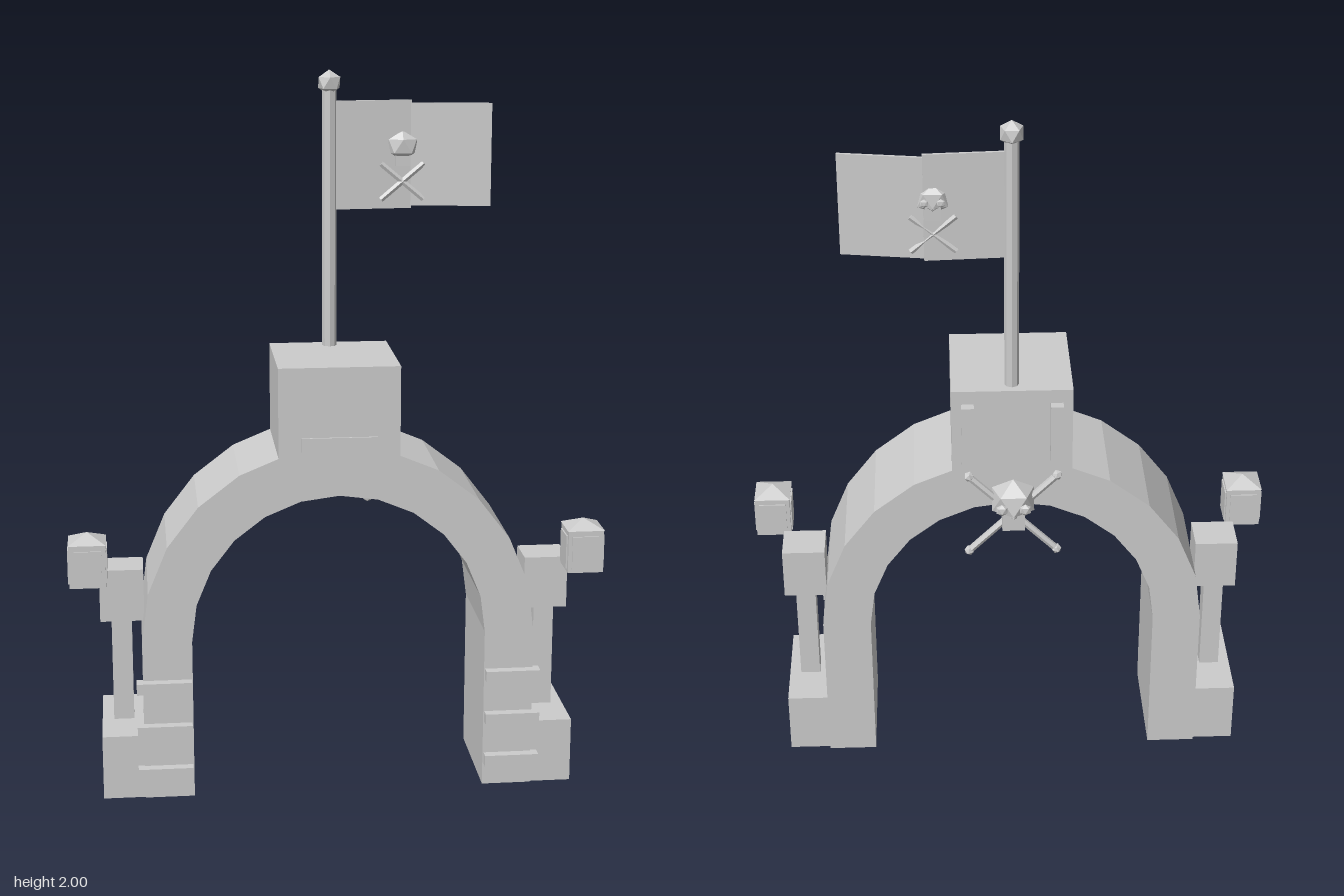
import * as THREE from 'three';

const stone = new THREE.MeshStandardMaterial({ color: 0xcccccc, flatShading: true });
stone.name = 'plain grey';

function add(parent, name, geometry, x = 0, y = 0, z = 0) {
  const mesh = new THREE.Mesh(geometry, stone);
  mesh.name = name;
  mesh.position.set(x, y, z);
  parent.add(mesh);
  return mesh;
}

// Box given by its lower and upper limits on each axis
function block(parent, name, x0, x1, y0, y1, z0, z1) {
  return add(parent, name, new THREE.BoxGeometry(Math.abs(x1 - x0), y1 - y0, z1 - z0),
    (x0 + x1) / 2, (y0 + y1) / 2, (z0 + z1) / 2);
}

// Low-poly ball with one corner pointing straight up
function ball(radius) {
  return new THREE.IcosahedronGeometry(radius, 0).rotateZ(Math.atan(2 / (1 + Math.sqrt(5)))).rotateY(Math.PI / 2);
}

// Two bones crossed in the xy plane, with knobs at their ends
function crossedBones(parent, halfW, halfH, radius, knob, y) {
  for (const s of [-1, 1]) {
    const bone = new THREE.Group();
    bone.name = 'bone';
    const length = 2 * Math.hypot(halfW, halfH);
    add(bone, 'boneShaft', new THREE.CylinderGeometry(radius, radius, length, 6));
    if (knob) for (const e of [-1, 1]) add(bone, 'boneKnob', ball(knob), 0, e * length / 2, 0);
    bone.rotation.z = -s * Math.atan2(halfW, halfH);
    bone.position.y = y;
    parent.add(bone);
  }
}

// Skull facing -z
function skull() {
  const g = new THREE.Group();
  g.name = 'skull';
  add(g, 'cranium', ball(0.072).scale(0.95, 0.87, 0.85));
  add(g, 'jaw', new THREE.BoxGeometry(0.062, 0.06, 0.07), 0, -0.05, -0.005);
  for (const s of [-1, 1]) add(g, 'eye', ball(0.018).scale(1, 1, 0.6), s * 0.032, -0.006, -0.05);
  add(g, 'nose', ball(0.01), 0, -0.03, -0.045);
  return g;
}

export function createModel() {
  const model = new THREE.Group();
  model.name = 'archGate';

  // Arch: straight legs with a twelve-sided half ring
  const arch = new THREE.Shape();
  const spring = 0.46, steps = 12;
  arch.moveTo(0.548, 0);
  for (let i = 0; i <= steps; i++) {
    const a = Math.PI * i / steps;
    arch.lineTo(0.548 * Math.cos(a), spring + 0.548 * Math.sin(a));
  }
  arch.lineTo(-0.548, 0);
  arch.lineTo(-0.41, 0);
  for (let i = steps; i >= 0; i--) {
    const a = Math.PI * i / steps;
    arch.lineTo(0.41 * Math.cos(a), spring + 0.41 * Math.sin(a));
  }
  arch.lineTo(0.41, 0);
  const archGeometry = new THREE.ExtrudeGeometry(arch, { depth: 0.33, bevelEnabled: false });
  add(model, 'arch', archGeometry, 0, 0, -0.12);

  // Keystone with its front plaque and rear bars
  block(model, 'keystone', -0.167, 0.167, 0.97, 1.23, -0.12, 0.21);
  block(model, 'plaque', -0.105, 0.105, 0.97, 1.035, 0.2, 0.216);
  for (const s of [-1, 1]) block(model, 'rearBar', s * 0.105, s * 0.14, 1.01, 1.19, -0.145, -0.11);

  // Side pieces, mirrored
  for (const s of [-1, 1]) {
    block(model, 'footBlock', s * 0.42, s * 0.665, 0, 0.185, -0.11, 0.205);
    block(model, 'post', s * 0.575, s * 0.632, 0.18, 0.5, 0.016, 0.074);
    block(model, 'postHead', s * 0.54, s * 0.663, 0.49, 0.64, -0.012, 0.104);
    for (const y of [0.064, 0.19, 0.318])
      block(model, 'rung', s * 0.413, s * 0.566, y, y + 0.032, 0.2, 0.237);

    const lantern = new THREE.Group();
    lantern.name = 'lantern';
    lantern.position.set(s * 0.692, 0.625, 0.158);
    add(lantern, 'lanternBody', new THREE.BoxGeometry(0.1, 0.122, 0.1), 0, 0.061, 0);
    add(lantern, 'lanternPane', new THREE.BoxGeometry(0.108, 0.095, 0.078), 0, 0.058, 0);
    add(lantern, 'lanternPane', new THREE.BoxGeometry(0.078, 0.095, 0.108), 0, 0.058, 0);
    add(lantern, 'lanternRoof', new THREE.ConeGeometry(0.0735, 0.025, 4).rotateY(Math.PI / 4), 0, 0.134, 0);
    model.add(lantern);
  }

  // Flagpole
  add(model, 'pole', new THREE.CylinderGeometry(0.02, 0.02, 0.74, 8), 0, 1.58, -0.08);
  add(model, 'poleBall', ball(0.035), 0, 1.965, -0.08);

  // Flag in two slightly bent panels
  const flagPanels = [
    [0.01, -0.08, 0.23, -0.092, 1.615, 1.915],
    [0.228, -0.092, 0.45, -0.058, 1.622, 1.907],
  ];
  for (const [x0, z0, x1, z1, y0, y1] of flagPanels) {
    const panel = add(model, 'flagPanel', new THREE.BoxGeometry(Math.hypot(x1 - x0, z1 - z0), y1 - y0, 0.008),
      (x0 + x1) / 2, (y0 + y1) / 2, (z0 + z1) / 2);
    panel.rotation.y = -Math.atan2(z1 - z0, x1 - x0);
  }

  // Skull and bones on both faces of the flag
  const emblem = new THREE.Group();
  emblem.name = 'flagEmblem';
  const flagSkull = skull();
  flagSkull.scale.set(0.68, 0.68, 0.38);
  flagSkull.position.y = 1.788;
  emblem.add(flagSkull);
  crossedBones(emblem, 0.06, 0.05, 0.009, 0, 1.69);
  emblem.position.set(0.205, 0, -0.088);
  model.add(emblem);

  // Large skull and bones on the back of the arch
  const ornament = new THREE.Group();
  ornament.name = 'rearOrnament';
  const rearSkull = skull();
  rearSkull.position.y = 0.92;
  ornament.add(rearSkull);
  crossedBones(ornament, 0.122, 0.122, 0.01, 0.015, 0.873);
  ornament.position.z = -0.178;
  model.add(ornament);

  return model;
}
